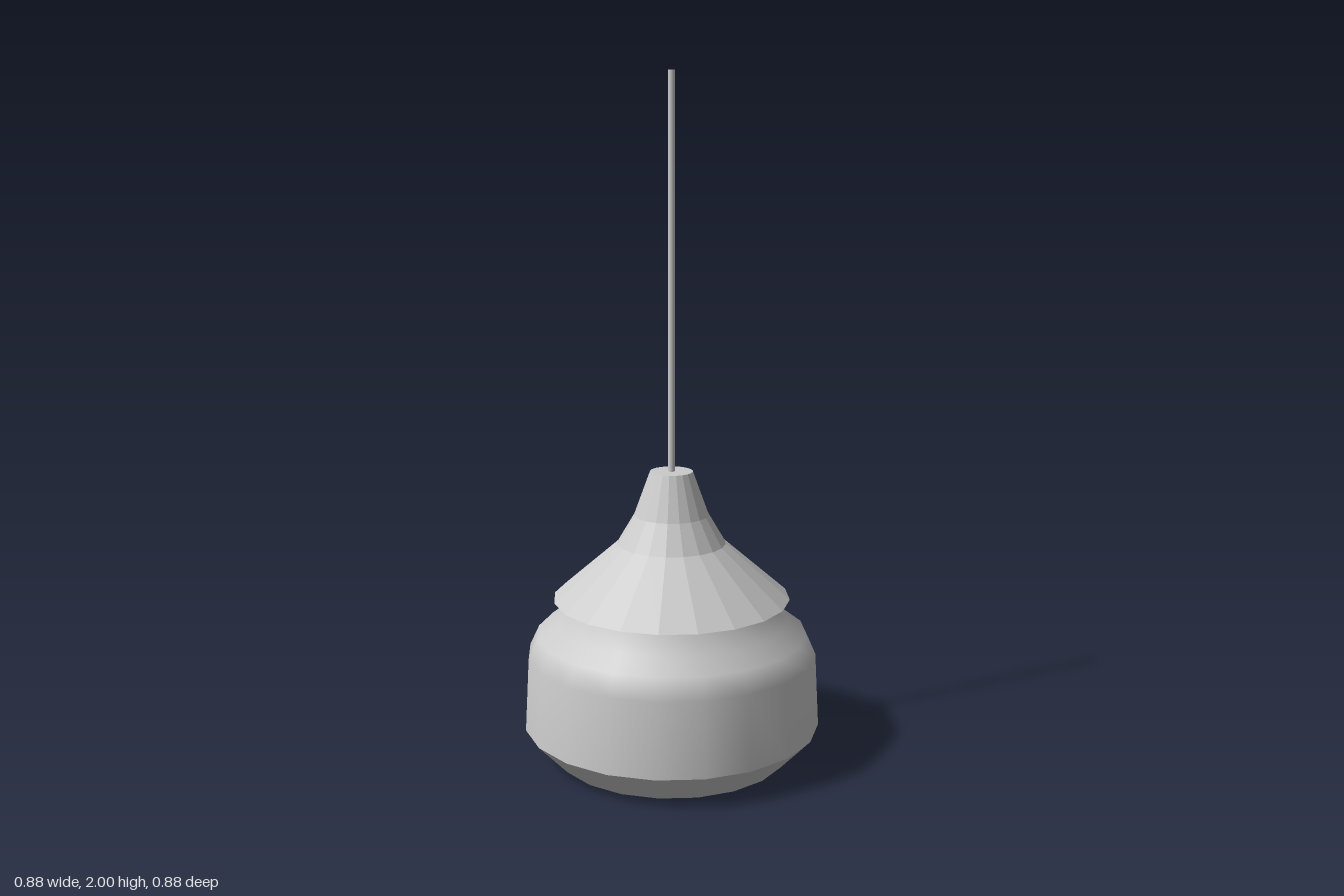
import * as THREE from 'three';

const SIDES = 20;

export function createModel() {
  const group = new THREE.Group();
  group.name = 'pendantLamp';

  const smooth = new THREE.MeshStandardMaterial({ color: 0xcccccc, side: THREE.DoubleSide });
  const faceted = smooth.clone();
  faceted.flatShading = true;

  const add = (name, geometry, material, y = 0) => {
    const mesh = new THREE.Mesh(geometry, material);
    mesh.name = name;
    mesh.position.y = y;
    group.add(mesh);
  };
  // Turn a list of [radius, height] pairs, listed upwards for an outward surface
  const turn = (points, sides = SIDES) =>
    new THREE.LatheGeometry(points.map(([r, y]) => new THREE.Vector2(r, y)), sides);

  // Shade: smooth outer wall, faceted lower bevel with its rim, smooth lining
  add('shadeWall', turn([[0.44, 0.095], [0.428, 0.315], [0.4, 0.375], [0.347, 0.415], [0.317, 0.48], [0.298, 0.52]]), smooth);
  add('shadeBevel', turn([[0.335, 0.005], [0.35, 0], [0.44, 0.095]]), faceted);
  add('shadeLining', turn([[0.28, 0.52], [0.298, 0.475], [0.33, 0.405], [0.385, 0.36], [0.41, 0.305], [0.42, 0.102], [0.335, 0.005]]), smooth);

  // Cap: faceted flared cone with a flat top, overhanging the shade
  add('cap', turn([[0.35, 0.48], [0.16, 0.645], [0.11, 0.73], [0.063, 0.86], [0, 0.86]]), faceted);

  // Socket and bulb inside the shade
  add('socket', new THREE.CylinderGeometry(0.055, 0.055, 0.3, SIDES), faceted, 0.5);
  add('bulb', turn([[0, 0.14], [0.06, 0.156], [0.1, 0.197], [0.115, 0.255], [0.1, 0.31], [0.07, 0.355], [0.055, 0.4]]), smooth);

  // Hanging cord
  add('cord', new THREE.CylinderGeometry(0.01, 0.01, 1.15, 12), smooth, 1.425);

  return group;
}
